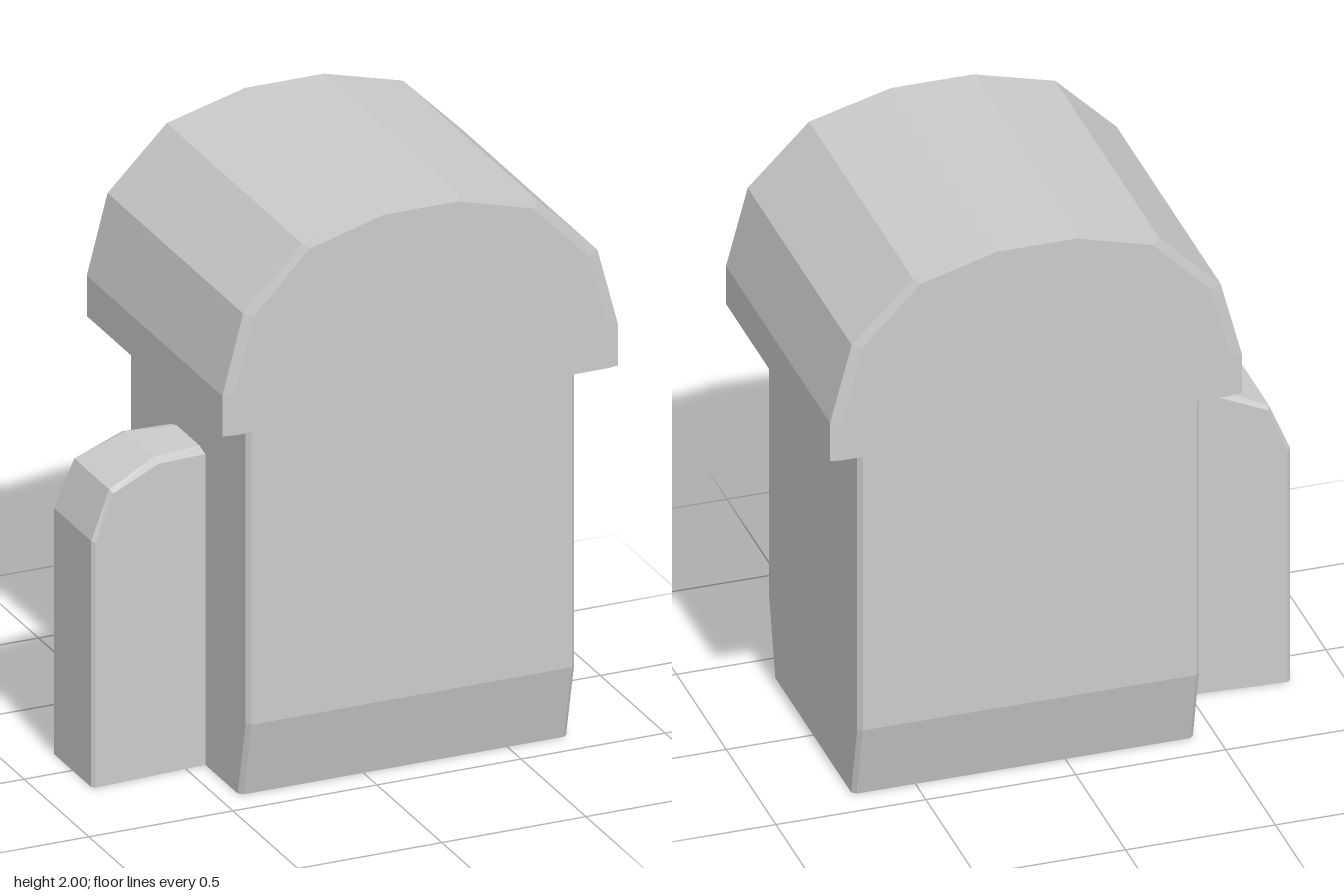
import * as THREE from 'three';

const material = new THREE.MeshStandardMaterial({ color: 0xcccccc, flatShading: true });

// Skin a list of convex cross-sections (counter-clockwise about the direction of travel) and cap both ends.
function loft(name, rings) {
  const pos = [];
  const tri = (a, b, c) => pos.push(...a, ...b, ...c);
  const n = rings[0].length;
  for (let i = 0; i < rings.length - 1; i++) {
    for (let j = 0; j < n; j++) {
      const k = (j + 1) % n;
      const a = rings[i][j], b = rings[i][k], c = rings[i + 1][k], d = rings[i + 1][j];
      tri(a, b, c);
      tri(a, c, d);
    }
  }
  const first = rings[0], last = rings[rings.length - 1];
  for (let j = 1; j < n - 1; j++) {
    tri(first[0], first[j + 1], first[j]);
    tri(last[0], last[j], last[j + 1]);
  }
  const geometry = new THREE.BufferGeometry();
  geometry.setAttribute('position', new THREE.Float32BufferAttribute(pos, 3));
  geometry.computeVertexNormals();
  const mesh = new THREE.Mesh(geometry, material);
  mesh.name = name;
  return mesh;
}

// Horizontal rectangle with chamfered corners.
function chamferedRect(y, x0, x1, hz, c) {
  return [
    [x0, y, hz - c], [x0 + c, y, hz], [x1 - c, y, hz], [x1, y, hz - c],
    [x1, y, -hz + c], [x1 - c, y, -hz], [x0 + c, y, -hz], [x0, y, -hz + c],
  ];
}

export function createModel() {
  const group = new THREE.Group();
  group.name = 'domedBox';

  // Main body: front and back taper at the foot, thin lip under the roof
  group.add(loft('body', [
    chamferedRect(0, -0.43, 0.71, 0.395, 0.014),
    chamferedRect(0.265, -0.43, 0.71, 0.457, 0.014),
    chamferedRect(1.298, -0.43, 0.71, 0.457, 0.014),
    chamferedRect(1.312, -0.442, 0.722, 0.469, 0.014),
  ]));

  // Faceted barrel roof with a very shallow bevel around each end face
  const cx = 0.14, base = 1.31;
  const half = [[0.687, 0], [0.687, 0.14], [0.615, 0.412], [0.41, 0.617], [0.137, 0.69]];
  const arch = [...half, ...half.map(([x, y]) => [-x, y]).reverse()];
  const roofRing = (z, sx, sy) => arch.map(([x, y]) => [cx + x * sx, base + y * sy, z]);
  group.add(loft('roof', [
    roofRing(-0.53, 0.945, 0.97),
    roofRing(-0.523, 1, 1),
    roofRing(0.523, 1, 1),
    roofRing(0.53, 0.945, 0.97),
  ]));

  // Side block: rounded outer shoulder, narrowing toward the body, bevelled edges
  const outer = [[-0.4, 0], [-0.4, 1.085], [-0.6, 1.085], [-0.765, 1.012], [-0.832, 0.85], [-0.832, 0]];
  const inner = [[-0.4, 0], [-0.4, 1.073], [-0.597, 1.073], [-0.757, 1.003], [-0.821, 0.845], [-0.821, 0]];
  const sideZ = (x) => 0.155 - 0.06 * (x + 0.82);
  const edgeZ = (x) => 0.144 - 0.14 * (x + 0.83);
  const blockRing = (profile, s, zOf) => profile.map(([x, y]) => [x, y, s * zOf(x)]);
  group.add(loft('sideBlock', [
    blockRing(inner, -1, sideZ),
    blockRing(outer, -1, edgeZ),
    blockRing(outer, 1, edgeZ),
    blockRing(inner, 1, sideZ),
  ]));

  return group;
}
